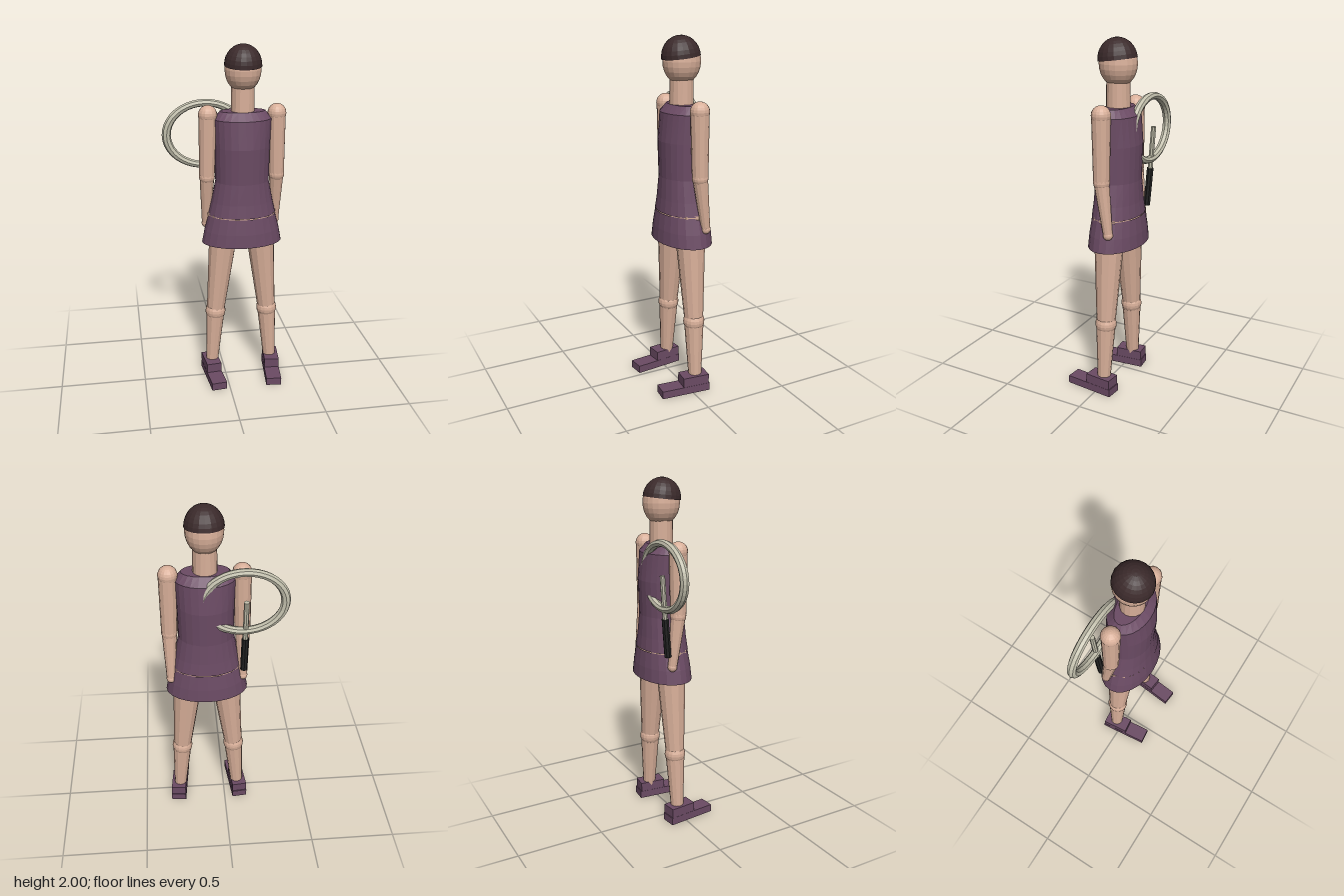
import * as THREE from 'three';

const CX = 0.1, CZ = -0.038; // vertical axis of the figure

const mat = (name, color, side = THREE.FrontSide) => {
  const m = new THREE.MeshStandardMaterial({ color, side, flatShading: true });
  m.name = name;
  return m;
};

// Surface through elliptical rings [y, rx, rz], listed from bottom to top
function loft(rings, sides = 24) {
  const pos = [], idx = [];
  for (const [y, rx, rz] of rings)
    for (let i = 0; i < sides; i++) {
      const a = (i / sides) * Math.PI * 2;
      pos.push(rx * Math.sin(a), y, rz * Math.cos(a));
    }
  for (let r = 0; r < rings.length - 1; r++)
    for (let i = 0; i < sides; i++) {
      const j = (i + 1) % sides, lo = r * sides, hi = lo + sides;
      idx.push(lo + i, lo + j, hi + j, lo + i, hi + j, hi + i);
    }
  const g = new THREE.BufferGeometry();
  g.setAttribute('position', new THREE.Float32BufferAttribute(pos, 3));
  g.setIndex(idx);
  g.computeVertexNormals();
  return g;
}

export function createModel() {
  const model = new THREE.Group();
  model.name = 'racketPlayer';

  const skin = mat('skin', 0xd8af99);
  const cloth = mat('plumCloth', 0x6b4b64, THREE.DoubleSide);
  const hairMat = mat('darkHair', 0x3b2a2b);
  const frame = mat('paleFrame', 0xc2bfac);
  const gripMat = mat('blackGrip', 0x222222);

  const add = (name, geo, material, x = 0, y = 0, z = 0, parent = model) => {
    const m = new THREE.Mesh(geo, material);
    m.name = name;
    m.position.set(x, y, z);
    parent.add(m);
    return m;
  };

  // Tapered cylinder between two points
  const limb = (name, a, b, ra, rb, material, parent = model, sides = 12) => {
    const A = new THREE.Vector3(...a), B = new THREE.Vector3(...b);
    const d = B.clone().sub(A);
    const m = add(name, new THREE.CylinderGeometry(rb, ra, d.length(), sides), material, 0, 0, 0, parent);
    m.position.copy(A).addScaledVector(d, 0.5);
    m.quaternion.setFromUnitVectors(new THREE.Vector3(0, 1, 0), d.normalize());
    return m;
  };
  const ball = (name, p, r, material, parent = model) =>
    add(name, new THREE.SphereGeometry(r, 16, 12), material, ...p, parent);

  // Head, hair and neck
  add('head', new THREE.SphereGeometry(1, 20, 14), skin, CX, 1.865, -0.035).scale.set(0.101, 0.125, 0.105);
  const hair = add('hair', new THREE.SphereGeometry(1, 20, 8, 0, Math.PI * 2, 0, Math.PI / 2), hairMat, CX, 1.886, -0.031);
  hair.scale.set(0.104, 0.114, 0.108);
  hair.rotation.x = 0.12;
  add('neck', new THREE.CylinderGeometry(0.064, 0.067, 0.2, 16), skin, CX, 1.69, -0.035);

  // Sleeveless top with closed shoulders
  add('top', loft([
    [1.045, 0.196, 0.135], [1.12, 0.178, 0.127], [1.24, 0.154, 0.12], [1.44, 0.157, 0.126],
    [1.595, 0.163, 0.11], [1.638, 0.128, 0.068], [1.638, 0.001, 0.001],
  ]), cloth, CX, 0, CZ);

  // Hips showing in the gap at the waist, and the open skirt
  add('hips', loft([
    [0.9, 0.14, 0.08], [0.97, 0.18, 0.1], [1.035, 0.199, 0.128], [1.052, 0.199, 0.128], [1.06, 0.001, 0.001],
  ], 12), skin, CX, 0, CZ);
  add('skirt', loft([[0.873, 0.234, 0.15], [0.95, 0.219, 0.145], [1.04, 0.194, 0.134]]), cloth, CX, 0, CZ);

  // Arms, legs and shoes, mirrored about the body axis
  for (const [side, s] of [['left', 1], ['right', -1]]) {
    const X = (d) => CX + s * d;

    const arm = new THREE.Group();
    arm.name = side + 'Arm';
    model.add(arm);
    const shoulder = [X(0.195), 1.62, -0.039], elbow = [X(0.201), 1.265, -0.042], hand = [X(0.203), 0.975, -0.08];
    ball('shoulder', shoulder, 0.053, skin, arm);
    limb('upperArm', elbow, shoulder, 0.044, 0.051, skin, arm);
    ball('elbow', elbow, 0.045, skin, arm);
    limb('forearm', hand, elbow, 0.025, 0.042, skin, arm);
    ball('hand', hand, 0.027, skin, arm);

    const leg = new THREE.Group();
    leg.name = side + 'Leg';
    model.add(leg);
    const hip = [X(0.1), 1.0, -0.036], knee = [X(0.157), 0.42, -0.038], ankle = [X(0.18), 0.08, -0.036];
    limb('thigh', knee, hip, 0.053, 0.089, skin, leg);
    ball('knee', knee, 0.061, skin, leg);
    limb('shin', ankle, knee, 0.037, 0.056, skin, leg);

    // Shoe turned slightly inward
    const shoe = new THREE.Group();
    shoe.name = side + 'Shoe';
    shoe.position.set(X(0.18), 0, 0.038);
    shoe.rotation.y = -s * 0.103;
    model.add(shoe);
    add('sole', new THREE.BoxGeometry(0.09, 0.045, 0.29), cloth, 0, 0.0225, 0, shoe);
    add('shoeUpper', new THREE.BoxGeometry(0.088, 0.055, 0.155), cloth, 0, 0.0725, -0.062, shoe);
  }

  // Racket: oval hoop, shaft and grip
  const racket = new THREE.Group();
  racket.name = 'racket';
  model.add(racket);
  const hoop = add('hoop', new THREE.TorusGeometry(0.2, 0.0235, 8, 40), frame, -0.1, 1.492, -0.13, racket);
  hoop.scale.set(1.09, 0.89, 1.05);
  const tip = [-0.11, 1.5, -0.145], joint = [-0.108, 1.26, -0.128], butt = [-0.105, 1.04, -0.11];
  limb('shaft', joint, tip, 0.015, 0.015, frame, racket, 8);
  limb('grip', butt, joint, 0.02, 0.02, gripMat, racket, 8);

  return model;
}
